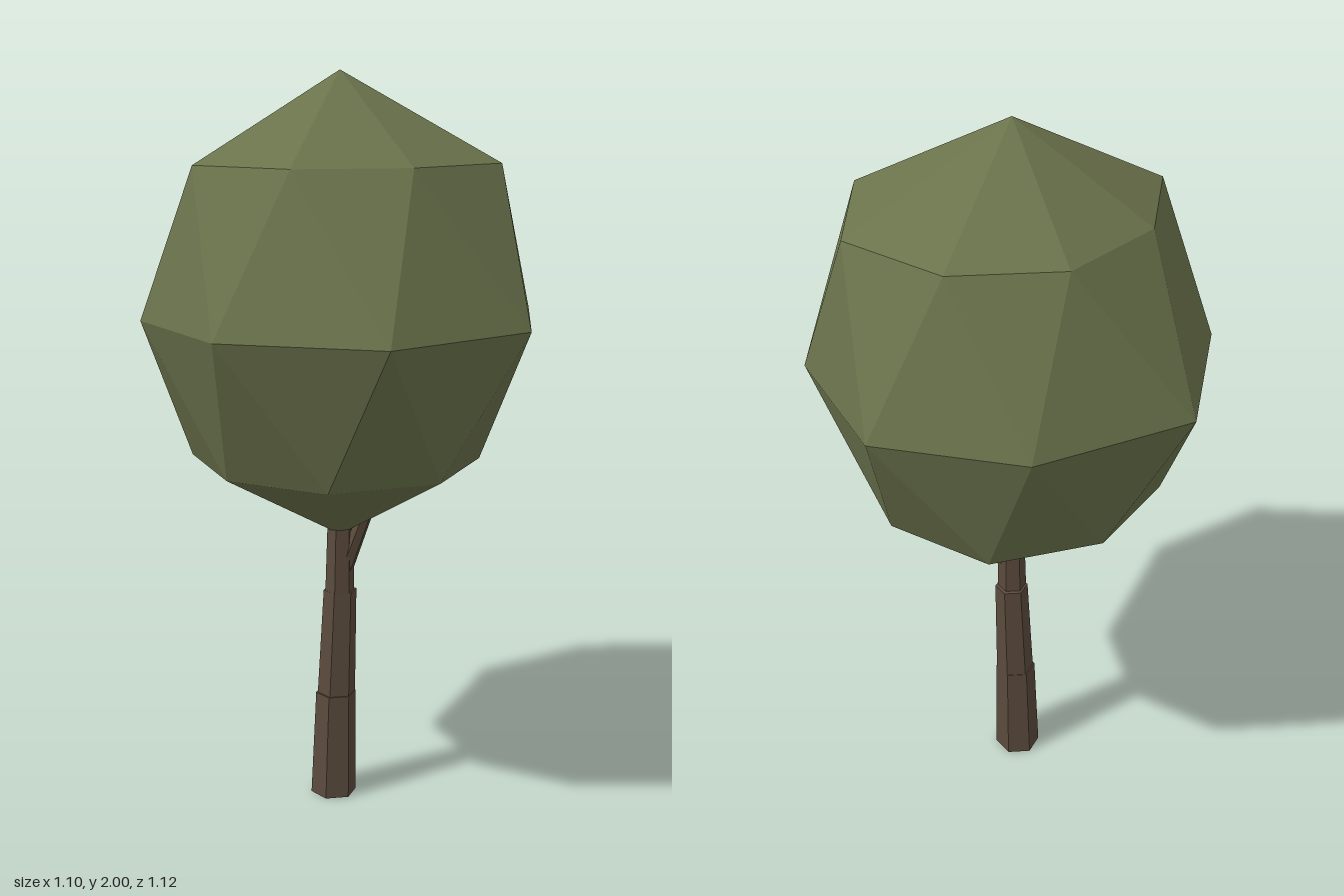
import * as THREE from 'three';

const leafMat = new THREE.MeshStandardMaterial({ color: 0x6b734c, flatShading: true });
const barkMat = new THREE.MeshStandardMaterial({ color: 0x5a4a3c, flatShading: true });

// Faceted crown: two poles and three uneven eight-point rings, each twisted against the next
function crownGeometry() {
  const ring = (y, points) => points.map(([x, z]) => [x, y, z]);
  const rings = [
    ring(1.77, [[0.425, -0.03], [0.28, 0.25], [0.02, 0.4], [-0.27, 0.325],
      [-0.36, 0.03], [-0.27, -0.26], [-0.02, -0.405], [0.28, -0.345]]),
    ring(1.37, [[0.55, 0.13], [0.31, 0.51], [-0.12, 0.555], [-0.44, 0.295],
      [-0.55, -0.13], [-0.275, -0.475], [0.115, -0.56], [0.44, -0.3]]),
    ring(0.98, [[0.34, 0.19], [0.11, 0.39], [-0.18, 0.35], [-0.385, 0.115],
      [-0.345, -0.185], [-0.12, -0.39], [0.18, -0.35], [0.36, -0.11]]),
  ];
  const top = [0, 2, 0], bottom = [0, 0.76, 0];
  const verts = [];
  const tri = (...corners) => corners.forEach((c) => verts.push(...c));
  for (let i = 0; i < 8; i++) {
    const j = (i + 1) % 8;
    tri(top, rings[0][j], rings[0][i]);
    for (let k = 0; k < 2; k++) {
      const upper = rings[k], lower = rings[k + 1];
      tri(upper[i], upper[j], lower[i]);
      tri(upper[j], lower[j], lower[i]);
    }
    tri(rings[2][i], rings[2][j], bottom);
  }
  const geo = new THREE.BufferGeometry();
  geo.setAttribute('position', new THREE.Float32BufferAttribute(verts, 3));
  geo.computeVertexNormals();
  return geo;
}

// Tapered six-sided section leaning from one centre to another, with level ends
function barkSection(name, from, to, r0, r1) {
  const geo = new THREE.CylinderGeometry(r1, r0, 1, 6);
  const a = new THREE.Vector3(...from), b = new THREE.Vector3(...to);
  const pos = geo.attributes.position, c = new THREE.Vector3();
  for (let i = 0; i < pos.count; i++) {
    c.lerpVectors(a, b, pos.getY(i) + 0.5);
    pos.setXYZ(i, pos.getX(i) + c.x, c.y, pos.getZ(i) + c.z);
  }
  geo.computeVertexNormals();
  const mesh = new THREE.Mesh(geo, barkMat);
  mesh.name = name;
  return mesh;
}

export function createModel() {
  const tree = new THREE.Group();
  tree.name = 'tree';

  const crown = new THREE.Mesh(crownGeometry(), leafMat);
  crown.name = 'crown';
  tree.add(crown);

  // Trunk in stacked sections with small steps at the joints
  const trunk = new THREE.Group();
  trunk.name = 'trunk';
  trunk.add(
    barkSection('trunkLower', [-0.017, 0, 0.005], [-0.011, 0.3, 0.003], 0.064, 0.056),
    barkSection('trunkMiddle', [-0.01, 0.3, 0.001], [-0.001, 0.6, -0.004], 0.053, 0.046),
    barkSection('trunkUpper', [0, 0.6, 0.002], [0.004, 0.9, 0.002], 0.04, 0.034),
    // Side branch that disappears into the crown
    barkSection('branch', [0.012, 0.66, 0], [0.09, 0.87, 0], 0.026, 0.02),
  );
  tree.add(trunk);
  return tree;
}
